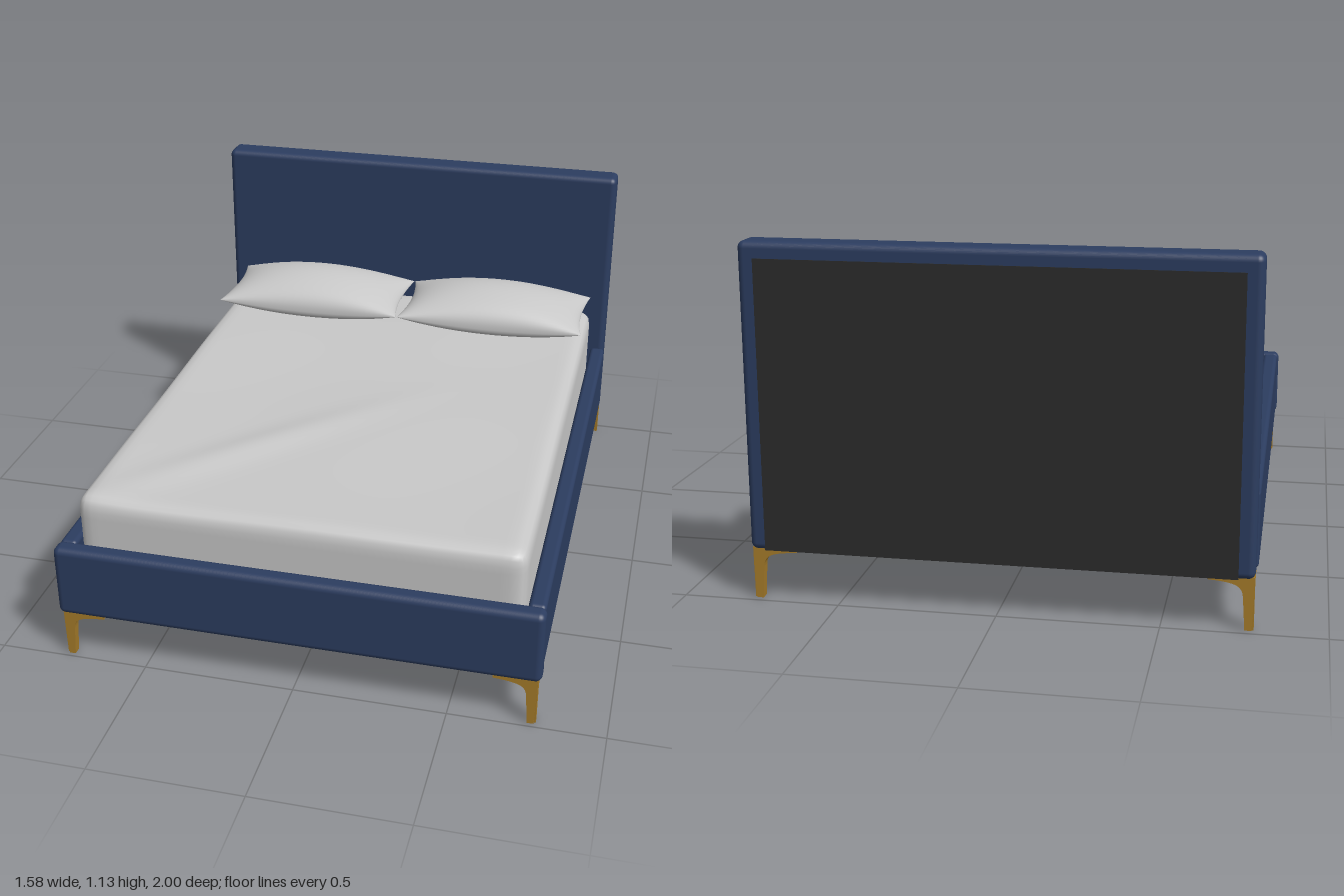
import * as THREE from 'three';
import { mergeVertices } from 'three/addons/utils/BufferGeometryUtils.js';
import { RoundedBoxGeometry } from 'three/addons/geometries/RoundedBoxGeometry.js';

const flat = (name, color, extra = {}) => {
  const m = new THREE.MeshStandardMaterial({ color, ...extra });
  m.name = name;
  return m;
};

// Welds the seams so that the surface shades smoothly
function weld(geometry) {
  geometry.deleteAttribute('normal');
  geometry.deleteAttribute('uv');
  const welded = mergeVertices(geometry, 1e-4);
  welded.computeVertexNormals();
  return welded;
}

// Rounded block with gentle creases across the top
function mattressGeometry(w, h, d, r) {
  const g = new THREE.BoxGeometry(w, h, d, 56, 16, 70);
  const limit = new THREE.Vector3(w / 2 - r, h / 2 - r, d / 2 - r);
  const p = new THREE.Vector3(), core = new THREE.Vector3();
  for (let i = 0; i < g.attributes.position.count; i++) {
    p.fromBufferAttribute(g.attributes.position, i);
    core.copy(p).clamp(limit.clone().negate(), limit);
    p.sub(core).setLength(r).add(core);
    const top = THREE.MathUtils.smoothstep(p.y, h / 2 - 0.06, h / 2);
    const ridge = Math.exp(-(((p.x + p.z - 0.2) / 0.1) ** 2) - ((p.x + 0.28) / 0.35) ** 2);
    const wave = Math.sin(5 * p.x + 4 * p.z) * Math.sin(3 * p.z - 2 * p.x + 1);
    p.y += top * (0.013 * ridge + 0.004 * wave);
    g.attributes.position.setXYZ(i, p.x, p.y, p.z);
  }
  return weld(g);
}

// Two puffed sheets meeting at a pinched seam with pointed corners
function pillowGeometry(halfW, halfD, up, down) {
  const g = new THREE.BoxGeometry(2, 2, 2, 36, 1, 28);
  const pos = g.attributes.position;
  for (let i = 0; i < pos.count; i++) {
    const u = Math.sin(pos.getX(i) * Math.PI / 2);
    const v = Math.sin(pos.getZ(i) * Math.PI / 2);
    const side = pos.getY(i);
    const puff = Math.pow(Math.max(0, 1 - u * u), 0.6) * Math.pow(Math.max(0, 1 - v * v), 0.42);
    const seam = 0.006 * (u * u * v * v) - 0.012 * (1 - u * u) * v * v;
    pos.setXYZ(i,
      halfW * u * (1 - 0.055 * (1 - v * v)),
      seam + puff * (side > 0 ? up : -down),
      halfD * v * (1 - 0.025 * (1 - u * u)));
  }
  return weld(g);
}

// Corner leg with its outer corner at the origin and a curved wing along +x and +z
function cornerLeg(material) {
  const s = new THREE.Shape();
  s.moveTo(0.006, 0);
  s.lineTo(0.027, 0);
  s.lineTo(0.034, 0.105);
  s.bezierCurveTo(0.037, 0.14, 0.055, 0.15, 0.14, 0.155);
  s.lineTo(0.14, 0.168);
  s.lineTo(0, 0.168);
  s.closePath();
  const depth = 0.027;
  const leg = new THREE.Group();
  const wing = new THREE.ExtrudeGeometry(s, { depth, bevelEnabled: false, curveSegments: 10 });
  const turned = wing.clone().rotateY(-Math.PI / 2).translate(depth, 0, 0);
  for (const [name, geo] of [['legWingAcross', wing], ['legWingAlong', turned]]) {
    const mesh = new THREE.Mesh(geo, material);
    mesh.name = name;
    leg.add(mesh);
  }
  return leg;
}

export function createModel() {
  const navy = flat('navy upholstery', 0x2c3d60);
  const linen = flat('pale linen', 0xc8c8c8);
  const backing = flat('dark backing cloth', 0x2c2c2c);
  const brass = flat('brass', 0xa67c2a);

  const bed = new THREE.Group();
  bed.name = 'bed';
  const add = (name, geometry, material, x, y, z) => {
    const mesh = new THREE.Mesh(geometry, material);
    mesh.name = name;
    mesh.position.set(x, y, z);
    bed.add(mesh);
    return mesh;
  };
  // Box given by its lower and upper corners
  const padded = (name, a, b, r) => add(name,
    new RoundedBoxGeometry(b[0] - a[0], b[1] - a[1], b[2] - a[2], 4, r), navy,
    (a[0] + b[0]) / 2, (a[1] + b[1]) / 2, (a[2] + b[2]) / 2);

  // Upholstered frame
  padded('headboard', [-0.78, 0.165, -0.998], [0.78, 1.133, -0.893], 0.022);
  padded('footboard', [-0.79, 0.165, 0.936], [0.79, 0.415, 1], 0.022);
  for (const side of [-1, 1]) {
    const x = side * 0.757;
    padded(side > 0 ? 'leftRail' : 'rightRail', [x - 0.028, 0.165, -0.9], [x + 0.028, 0.413, 0.945], 0.015);
  }

  // Dark cloth on the back and underneath
  add('headboardBacking', new THREE.BoxGeometry(1.46, 0.915, 0.008), backing, 0, 0.624, -0.996);
  add('underside', new THREE.BoxGeometry(1.51, 0.008, 1.92), backing, 0, 0.168, -0.01);

  // Bedding
  add('mattress', mattressGeometry(1.44, 0.38, 1.84, 0.045), linen, 0, 0.389, 0.02);
  const pillow = pillowGeometry(0.357, 0.183, 0.104, 0.06);
  add('leftPillow', pillow, linen, 0.359, 0.636, -0.69);
  add('rightPillow', pillow, linen, -0.359, 0.636, -0.69);

  // Legs, each turned so its wings point inward
  const corners = [
    ['backRightLeg', -0.778, -0.978, 0],
    ['backLeftLeg', 0.778, -0.978, -Math.PI / 2],
    ['frontLeftLeg', 0.778, 0.985, Math.PI],
    ['frontRightLeg', -0.778, 0.985, Math.PI / 2],
  ];
  for (const [name, x, z, turn] of corners) {
    const leg = cornerLeg(brass);
    leg.name = name;
    leg.position.set(x, 0, z);
    leg.rotation.y = turn;
    bed.add(leg);
  }
  return bed;
}
